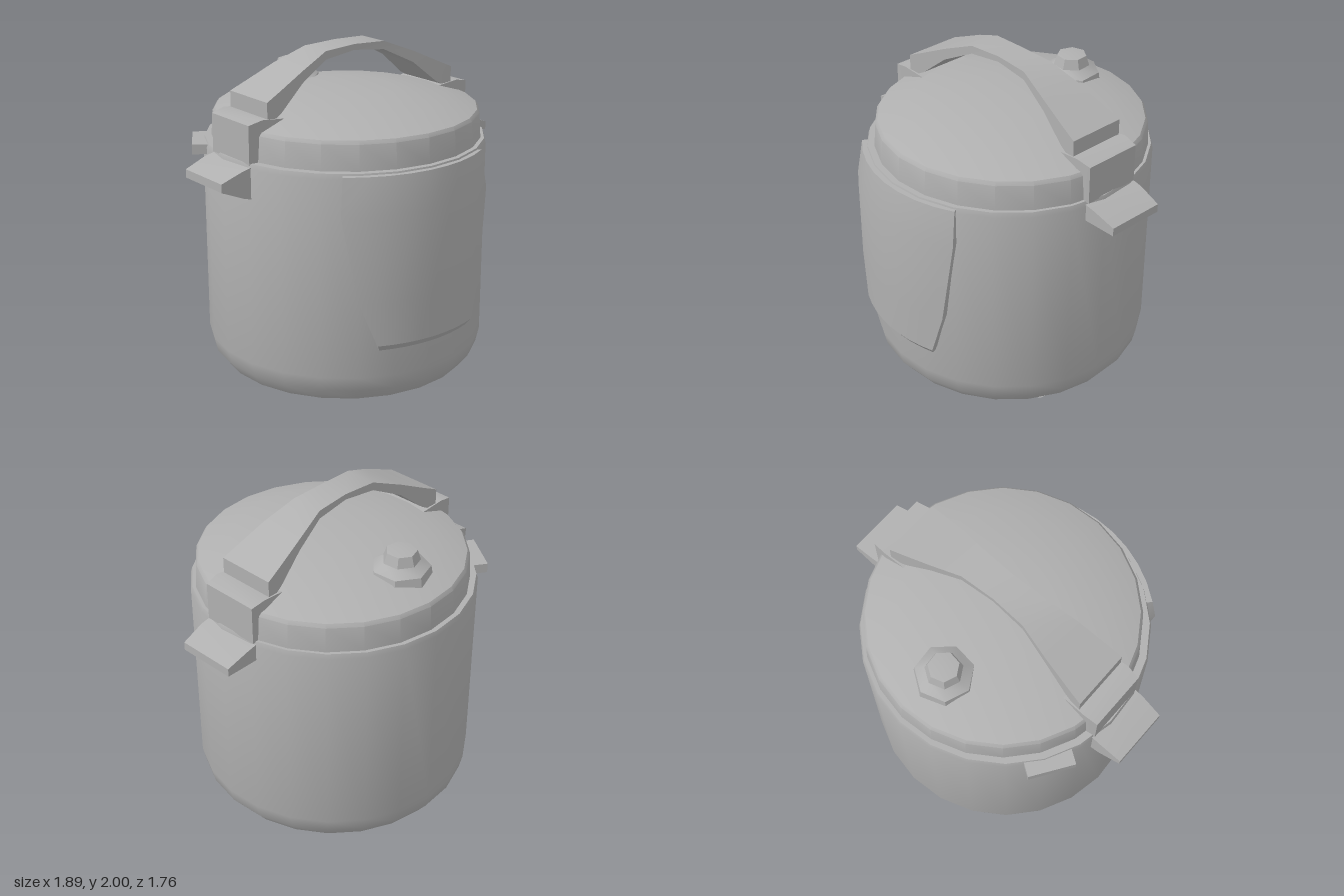
import * as THREE from 'three';
import { toCreasedNormals } from 'three/addons/utils/BufferGeometryUtils.js';

const metal = new THREE.MeshStandardMaterial({ color: 0xb0b0b0 });
metal.name = 'grey metal';

function part(name, geometry, crease = 0.7) {
  const mesh = new THREE.Mesh(toCreasedNormals(geometry, crease), metal);
  mesh.name = name;
  return mesh;
}

// Closed skin over equal-length loops of [x, y, z] points, faces turned outward
function loft(sections) {
  const n = sections[0].length;
  const points = sections.flat().map((p) => new THREE.Vector3(...p));
  const faces = [];
  for (let s = 0; s < sections.length - 1; s++) {
    for (let i = 0; i < n; i++) {
      const a = s * n + i, b = s * n + (i + 1) % n;
      faces.push([a, b, b + n], [a, b + n, a + n]);
    }
  }
  const last = (sections.length - 1) * n;
  for (let i = 1; i < n - 1; i++) {
    faces.push([0, i + 1, i], [last, last + i, last + i + 1]);
  }
  const cross = new THREE.Vector3();
  let volume = 0;
  for (const [a, b, c] of faces) volume += points[a].dot(cross.crossVectors(points[b], points[c]));
  if (volume < 0) faces.forEach((f) => f.reverse());
  const geometry = new THREE.BufferGeometry().setFromPoints(points);
  geometry.setIndex(faces.flat());
  return geometry;
}

// Rectangular section across the handle axis
const slice = (u, bottom, top, w) => [[u, bottom, -w], [u, bottom, w], [u, top, w], [u, top, -w]];

function lathe(name, profile, sides = 24) {
  return part(name, new THREE.LatheGeometry(profile.map(([r, y]) => new THREE.Vector2(r, y)), sides), 0.6);
}

// Curved slab on the pot wall, tapering towards the bottom
function panelGeometry() {
  const rows = [ // y, start angle, end angle, outer radius
    [0.4, 8, 51, 0.86], [0.44, 7, 52, 0.89], [0.7, 0, 57, 0.895],
    [1.22, -6.5, 62, 0.895], [1.44, -6, 62, 0.858],
  ];
  const steps = 8;
  return loft(rows.map(([y, from, to, radius]) => {
    const loop = [];
    const add = (t, r) => {
      const a = THREE.MathUtils.degToRad(from + (to - from) * t);
      loop.push([Math.sin(a) * r, y, Math.cos(a) * r - 0.01]);
    };
    for (let i = 0; i <= steps; i++) add(i / steps, radius);
    for (let i = steps; i >= 0; i--) add(i / steps, 0.79);
    return loop;
  }));
}

export function createModel() {
  const model = new THREE.Group();
  model.name = 'cookingPot';

  // Pot body with rounded bottom edge
  const body = lathe('potBody', [
    [0, 0.05], [0.45, 0.04], [0.7, 0.03], [0.77, 0.05], [0.83, 0.13], [0.85, 0.22],
    [0.85, 1.42], [0.84, 1.45], [0.77, 1.45],
  ]);
  body.position.z = -0.025;
  model.add(body);

  // Domed lid
  const lid = lathe('lid', [
    [0.76, 1.43], [0.81, 1.45], [0.8, 1.6], [0.785, 1.62], [0.6, 1.68], [0.3, 1.72], [0, 1.73],
  ]);
  lid.position.set(0.01, 0, -0.035);
  model.add(lid);

  // Shallow feet under the base
  for (const [x, z, bottom] of [[-0.62, 0.05, 0], [0.64, -0.1, 0.025]]) {
    const foot = part('foot', new THREE.CylinderGeometry(0.13, 0.07, 0.05 - bottom, 8));
    foot.position.set(x, 0.025 + bottom / 2, z);
    model.add(foot);
  }

  // Front panel on the pot wall
  model.add(part('frontPanel', panelGeometry(), 0.6));

  // Lid handle, brackets and side grips share one slanted axis
  const handles = new THREE.Group();
  handles.name = 'handles';
  handles.rotation.y = THREE.MathUtils.degToRad(34);
  handles.position.z = -0.03;
  const half = [
    [0.7, 1.64, 1.78, 0.18], [0.59, 1.7, 1.83, 0.165], [0.42, 1.84, 1.91, 0.14], [0.22, 1.94, 1.99, 0.1],
  ];
  handles.add(part('lidHandle', loft([
    ...half.map(([u, b, t, w]) => slice(-u, b, t, w)),
    slice(0, 1.965, 2, 0.09),
    ...half.reverse().map(([u, b, t, w]) => slice(u, b, t, w)),
  ])));
  for (const side of [-1, 1]) {
    const drop = side < 0 ? 0.1 : 0;
    handles.add(part('handleBracket', loft([
      slice(side * 0.58, 1.45, 1.67, 0.18), slice(side * 0.74, 1.44, 1.69, 0.19),
      slice(side * 0.83, 1.44, 1.67, 0.18),
    ])));
    handles.add(part('sideGrip', loft([
      slice(side * 0.78, 1.33 - drop, 1.44, 0.19), slice(side * 0.88, 1.33 - drop * 0.7, 1.42, 0.19),
      slice(side * 1.02, 1.32, 1.37, 0.18),
    ])));
  }
  model.add(handles);

  // Small tab on the rim
  const tab = part('rimTab', new THREE.BoxGeometry(0.1, 0.06, 0.28));
  tab.position.set(-0.865, 1.41, 0);
  model.add(tab);

  // Pressure valve on the lid
  const valve = lathe('valve', [
    [0.18, 1.65], [0.17, 1.71], [0.11, 1.75], [0.09, 1.81], [0, 1.82],
  ], 7);
  valve.position.set(-0.29, 0, -0.45);
  model.add(valve);

  return model;
}
